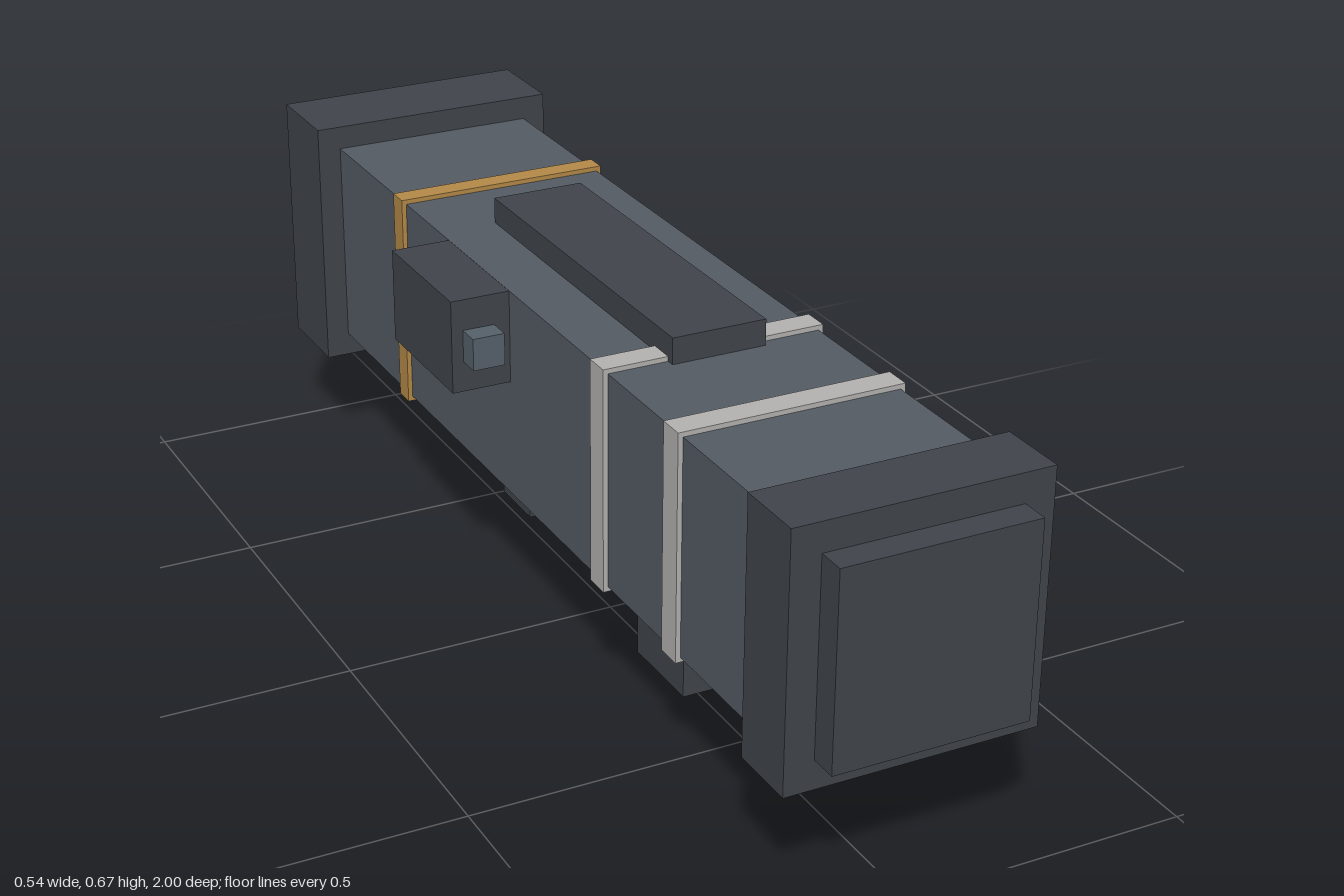
import * as THREE from 'three';

const material = (color) => new THREE.MeshStandardMaterial({ color, flatShading: true });

export function createModel() {
  const model = new THREE.Group();
  model.name = 'launcher';

  const steel = material(0x555b64);
  const dark = material(0x40454b);
  const pale = material(0xb4b3b1);
  const brass = material(0xb58a48);
  const plate = material(0x777579);
  const glass = material(0x56616b);

  // Box given by its extents along each axis
  function block(name, mat, [x0, x1], [y0, y1], [z0, z1], parent = model) {
    const mesh = new THREE.Mesh(new THREE.BoxGeometry(x1 - x0, y1 - y0, z1 - z0), mat);
    mesh.position.set((x0 + x1) / 2, (y0 + y1) / 2, (z0 + z1) / 2);
    mesh.name = name;
    parent.add(mesh);
    return mesh;
  }

  // Square section centred on the tube axis
  const axisX = 0.031, axisY = 0.43;
  function section(name, mat, size, z) {
    const h = size / 2;
    return block(name, mat, [axisX - h, axisX + h], [axisY - h, axisY + h], z);
  }

  // Main tube and end caps
  section('tube', steel, 0.385, [-0.9, 0.9]);
  section('rearCap', dark, 0.472, [-1, -0.832]);
  section('frontCap', dark, 0.446, [0.825, 0.95]);
  section('muzzlePlate', dark, 0.343, [0.94, 1]);

  // Bands around the tube
  section('frontBand', pale, 0.402, [0.522, 0.57]);
  section('middleBand', pale, 0.402, [0.268, 0.315]);
  section('rearBand', brass, 0.402, [-0.547, -0.507]);

  // Top rail, underside plate and side panel
  block('topRail', dark, [-0.054, 0.116], [0.61, 0.669], [-0.355, 0.33]);
  block('undersidePlate', dark, [-0.096, 0.16], [0.183, 0.25], [0.508, 0.845]);
  block('sidePanel', plate, [0.21, 0.239], [0.304, 0.56], [0.032, 0.287]);

  // Grips and trigger
  block('frontGrip', dark, [-0.028, 0.091], [0, 0.25], [0.162, 0.332]);
  block('rearGrip', dark, [-0.02, 0.082], [0.048, 0.25], [-0.412, -0.295]);
  block('trigger', dark, [-0.01, 0.072], [0.225, 0.25], [0.325, 0.44]);

  // Side sight with lens and eyepiece
  const sight = new THREE.Group();
  sight.name = 'sight';
  model.add(sight);
  block('sightBody', dark, [-0.269, -0.155], [0.453, 0.622], [-0.315, -0.06], sight);
  block('sightLens', glass, [-0.248, -0.19], [0.508, 0.566], [-0.07, -0.018], sight);
  block('sightEyepiece', brass, [-0.256, -0.181], [0.495, 0.58], [-0.332, -0.305], sight);

  return model;
}
